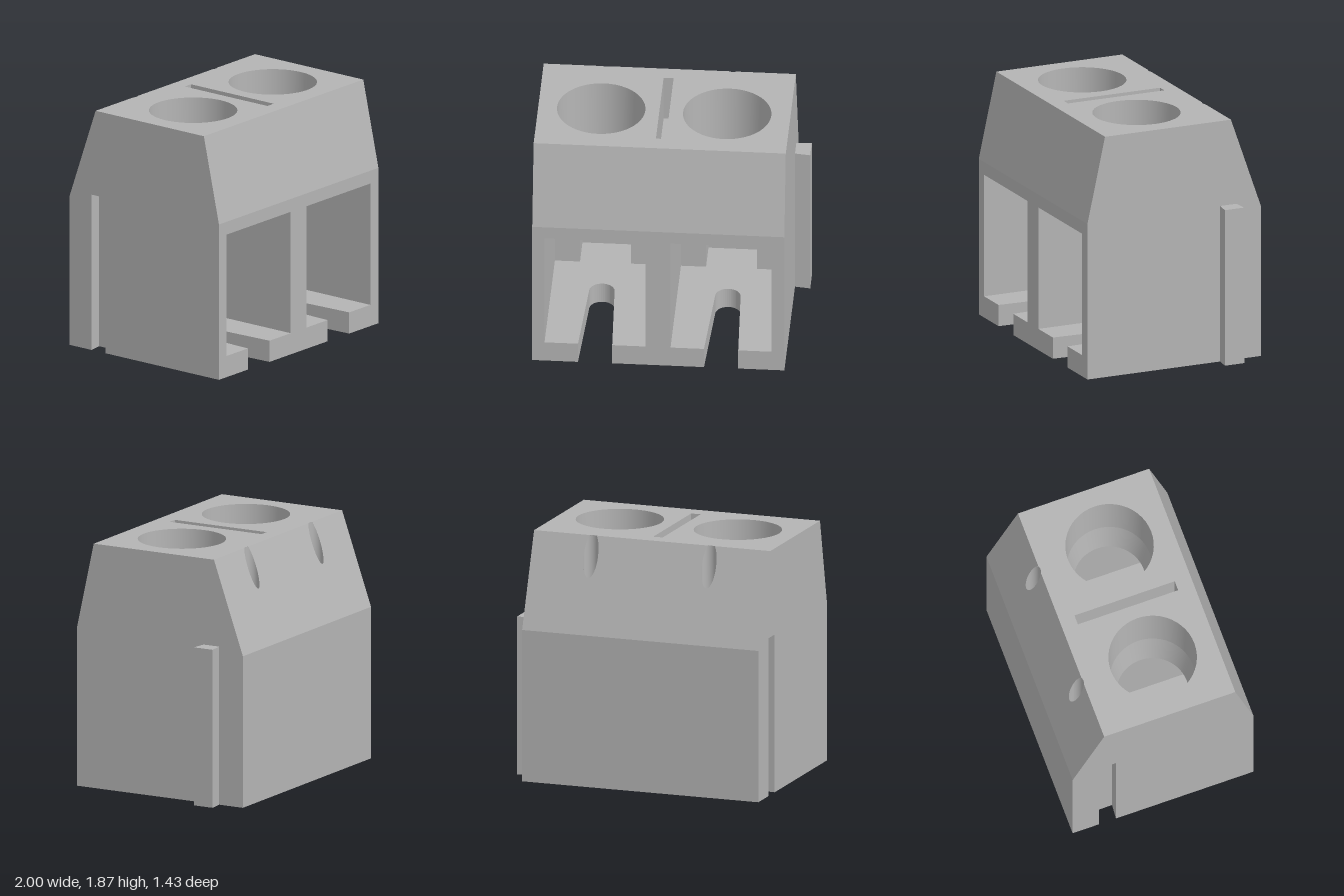
import * as THREE from 'three';

const XL = -1, XR = 0.885, ZB = -0.715, ZF = 0.72;        // body footprint
const FLOOR = 0.165, CEIL = 1.11, TOP = 1.87;             // inner levels
const ZTB = -0.465, ZTF = 0.575, YB = 1.16, YF = 1.21;    // shoulders
const CX = [0.412, -0.53];                                // the two bays
const HOLE_Z = 0.09, PROBE_Z = -0.515, PROBE_R = 0.057;

// height of the roof above any z
function roof(z) {
  if (z < ZTB) return YB + (TOP - YB) * (z - ZB) / (ZTB - ZB);
  if (z > ZTF) return YF + (TOP - YF) * (ZF - z) / (ZF - ZTF);
  return TOP;
}

// points [x, z] along an arc
function arc(cx, cz, r, a0, a1, n) {
  return Array.from({ length: n + 1 }, (_, i) => {
    const a = a0 + (a1 - a0) * i / n;
    return [cx + r * Math.cos(a), cz + r * Math.sin(a)];
  });
}

const vectors = pts => pts.map(([a, b]) => new THREE.Vector2(a, b));

export function createModel() {
  const model = new THREE.Group();
  const plastic = new THREE.MeshStandardMaterial({ color: 0xb4b4b4, side: THREE.DoubleSide });
  plastic.name = 'grey plastic';

  function add(name, geometry) {
    const mesh = new THREE.Mesh(geometry, plastic);
    mesh.name = name;
    model.add(mesh);
    return mesh;
  }

  // solid slab from an [x, z] outline between two heights
  function slab(name, pts, y0, y1) {
    const shape = new THREE.Shape(vectors(pts.map(([x, z]) => [x, -z])));
    const g = new THREE.ExtrudeGeometry(shape, { depth: y1 - y0, bevelEnabled: false });
    g.rotateX(-Math.PI / 2);
    g.translate(0, y0, 0);
    add(name, g);
  }

  // flat face from a 2D outline, placed in space by a rule
  function face(name, pts, place, holes = []) {
    const shape = new THREE.Shape(vectors(pts));
    holes.forEach(h => shape.holes.push(new THREE.Path(vectors(h))));
    const g = new THREE.ShapeGeometry(shape);
    const p = g.attributes.position;
    for (let i = 0; i < p.count; i++) p.setXYZ(i, ...place(p.getX(i), p.getY(i)));
    g.computeVertexNormals();
    add(name, g);
  }

  // upright strip along [x, z] points, with a top that may follow the roof
  function wall(name, pts, y0, top, smooth = false) {
    const pos = [], idx = [];
    pts.forEach(([x, z], i) => {
      pos.push(x, y0, z, x, top(z), z);
      const k = i * 2;
      if (i) idx.push(k - 2, k, k - 1, k - 1, k, k + 1);
    });
    let g = new THREE.BufferGeometry();
    g.setAttribute('position', new THREE.Float32BufferAttribute(pos, 3));
    g.setIndex(idx);
    if (!smooth) g = g.toNonIndexed();
    g.computeVertexNormals();
    add(name, g);
  }

  // dovetail groove on the right side, front to back
  const groove = [[XL, -0.372], [-0.89, -0.362], [-0.89, -0.52], [XL, -0.505]];
  const outline = notch => [
    [XL, ZB], [XR, ZB], [XR, ZF], ...CX.flatMap(notch), [XL, ZF], ...groove,
  ];

  // floor with tapered, round-ended wire slots
  slab('floor', outline(cx => [
    [cx + 0.128, ZF], ...arc(cx, 0.02, 0.095, 0, -Math.PI, 20), [cx - 0.128, ZF],
  ]), 0, FLOOR);

  // walls around the bays, each with a narrower pocket at the back
  slab('bayWalls', outline(cx => [
    [cx + 0.378, ZF], [cx + 0.378, -0.35], [cx + 0.19, -0.35], [cx + 0.19, -0.6],
    [cx - 0.19, -0.6], [cx - 0.19, -0.35], [cx - 0.378, -0.35], [cx - 0.378, ZF],
  ]), FLOOR, CEIL);

  // bay ceiling
  face('bayCeiling', outline(() => []), (x, z) => [x, CEIL, z], CX.flatMap(cx => [
    arc(cx, HOLE_Z, 0.27, 0, Math.PI * 2, 48).slice(0, -1),
    arc(cx, PROBE_Z, PROBE_R, 0, Math.PI * 2, 24).slice(0, -1),
  ]));

  // upper front, back and sides
  wall('upperFront', [[XL, ZF], [XR, ZF]], CEIL, () => YF);
  wall('upperBack', [[XR, ZB], [XL, ZB]], CEIL, () => YB);
  const gable = [[ZF, CEIL], [ZF, YF], [ZTF, TOP], [ZTB, TOP], [ZB, YB], [ZB, CEIL]];
  face('leftGable', gable, (z, y) => [XR, y, z]);
  face('rightGable', [...gable, [-0.505, CEIL], [-0.505, YF], [-0.372, YF], [-0.372, CEIL]],
    (z, y) => [XL, y, z]);
  wall('grooveEnd', groove, CEIL, () => YF);
  face('grooveCap', groove, (x, z) => [x, YF, z]);

  // roof: front slope, flat top and back slope, cut by the probe holes
  const onRoof = (x, z) => [x, roof(z), z];
  const cut = Math.asin((ZTB - PROBE_Z) / PROBE_R);
  const slot = [[-0.095, -0.345], [-0.02, -0.345], [-0.02, 0.45], [-0.095, 0.45]];
  face('frontSlope', [[XL, ZTF], [XR, ZTF], [XR, ZF], [XL, ZF]], onRoof);
  face('top', [
    [XL, ZTF], [XR, ZTF], [XR, ZTB],
    ...CX.flatMap(cx => arc(cx, PROBE_Z, PROBE_R, cut, Math.PI - cut, 6)), [XL, ZTB],
  ], onRoof, [slot, ...CX.map(cx => arc(cx, HOLE_Z, 0.33, 0, Math.PI * 2, 48).slice(0, -1))]);
  face('backSlope', [
    [XL, ZB], [XR, ZB], [XR, ZTB],
    ...CX.flatMap(cx => arc(cx, PROBE_Z, PROBE_R, cut, cut - Math.PI - 2 * cut, 24)), [XL, ZTB],
  ], onRoof);

  // slot between the screw holes
  wall('slotWalls', [...slot, slot[0]], 1.5, () => TOP);
  face('slotFloor', slot, (x, z) => [x, 1.5, z]);

  // screw holes and probe holes
  for (const cx of CX) {
    for (const [r0, y0, r1, y1] of [[0.27, CEIL, 0.32, 1.4], [0.32, 1.4, 0.33, TOP]]) {
      const tube = new THREE.LatheGeometry(vectors([[r0, y0], [r1, y1]]), 48);
      add('screwHole', tube).position.set(cx, 0, HOLE_Z);
    }
    wall('probeHole', arc(cx, PROBE_Z, PROBE_R, 0, Math.PI * 2, 32), CEIL, roof, true);
  }

  // dovetail rail on the left side
  slab('rail', [[XR, -0.51], [1, -0.52], [1, -0.36], [XR, -0.375]], 0, YF);

  return model;
}
